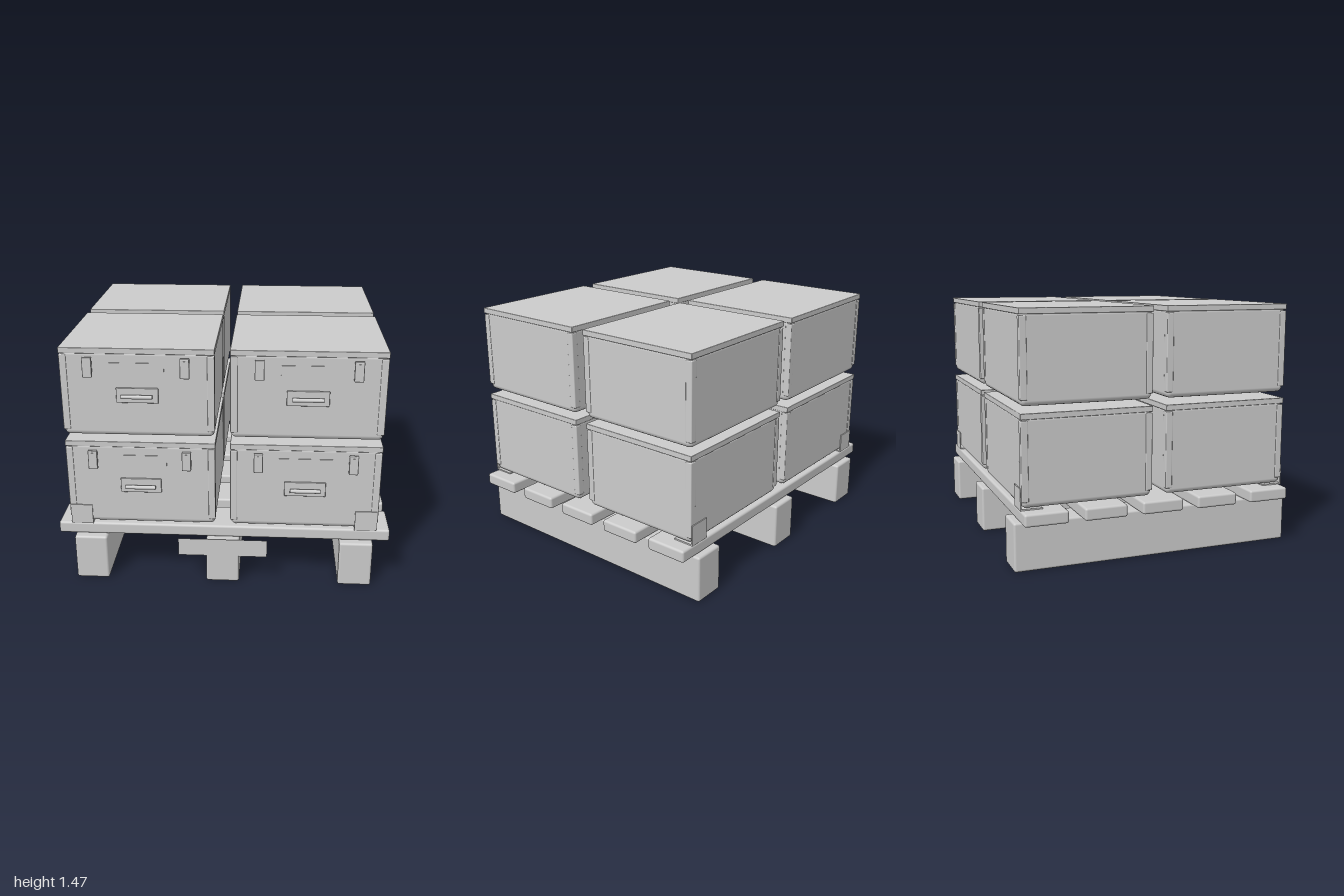
import * as THREE from 'three';
import { RoundedBoxGeometry } from 'three/addons/geometries/RoundedBoxGeometry.js';

const grey = new THREE.MeshStandardMaterial({ color: 0xcccccc });
grey.name = 'light grey';
const greySheet = new THREE.MeshStandardMaterial({ color: 0xcccccc, side: THREE.DoubleSide });
greySheet.name = 'light grey sheet';

function add(parent, name, geometry, x, y, z, material = grey) {
  const mesh = new THREE.Mesh(geometry, material);
  mesh.name = name;
  mesh.position.set(x, y, z);
  parent.add(mesh);
  return mesh;
}
const rounded = (w, h, d, r) => new RoundedBoxGeometry(w, h, d, 2, r);
const box = (w, h, d) => new THREE.BoxGeometry(w, h, d);

// One crate, standing on y = 0 and centred on x and z, latches facing +z
function createCrate() {
  const W = 0.882, D = 0.782, H = 0.53;
  const crate = new THREE.Group();
  crate.name = 'crate';
  add(crate, 'crateBody', rounded(W - 0.008, 0.515, D - 0.008, 0.03), 0, 0.2575, 0);
  add(crate, 'lid', rounded(W, 0.034, D, 0.004), 0, H - 0.017, 0);

  // Corner posts
  for (const sx of [-1, 1]) for (const sz of [-1, 1]) {
    add(crate, 'cornerPost', rounded(0.042, 0.455, 0.042, 0.006),
      sx * (W / 2 - 0.022), 0.262, sz * (D / 2 - 0.022));
  }

  // Front fittings
  const front = D / 2;
  for (const sx of [-1, 1]) {
    add(crate, 'latch', rounded(0.054, 0.116, 0.024, 0.005), sx * 0.275, 0.424, front + 0.024);
    add(crate, 'latchPin', box(0.012, 0.006, 0.006), sx * 0.275, 0.468, front + 0.039);
  }
  add(crate, 'labelPlate', box(0.31, 0.075, 0.006), 0, 0.407, front - 0.003);
  add(crate, 'handlePlate', rounded(0.242, 0.09, 0.012, 0.004), 0, 0.254, front + 0.004);
  const bar = add(crate, 'handleBar', new THREE.CylinderGeometry(0.012, 0.012, 0.178, 12), 0, 0.254, front + 0.033);
  bar.rotation.z = Math.PI / 2;
  return crate;
}

export function createModel() {
  const model = new THREE.Group();
  model.name = 'palletOfCrates';

  // Pallet runners and deck slats
  const pallet = new THREE.Group();
  pallet.name = 'pallet';
  model.add(pallet);
  for (const x of [-0.8, 0, 0.8]) {
    add(pallet, 'runner', rounded(0.2, 0.286, 1.73, 0.014), x, 0.143, -0.01);
  }
  for (let i = 0; i < 5; i++) {
    add(pallet, 'slat', rounded(2, 0.074, 0.255, 0.014), 0, 0.322, 0.684 - i * 0.349);
  }
  add(pallet, 'frontPlacard', new THREE.PlaneGeometry(0.535, 0.112), 0, 0.236, 0.857, greySheet);

  // Angle brackets holding the bottom crates at the four corners
  for (const sx of [-1, 1]) for (const [z, sz] of [[0.814, 1], [-0.837, -1]]) {
    add(pallet, 'bracketUpright', box(0.13, 0.125, 0.006), sx * 0.852, 0.42, z);
    add(pallet, 'bracketFoot', box(0.13, 0.008, 0.125), sx * 0.852, 0.363, z - sz * 0.0625);
  }

  // Two layers of four crates
  for (const y of [0.369, 0.936]) for (const x of [-0.484, 0.484]) for (const z of [0.421, -0.444]) {
    const crate = createCrate();
    crate.position.set(x, y, z);
    model.add(crate);
  }
  return model;
}
